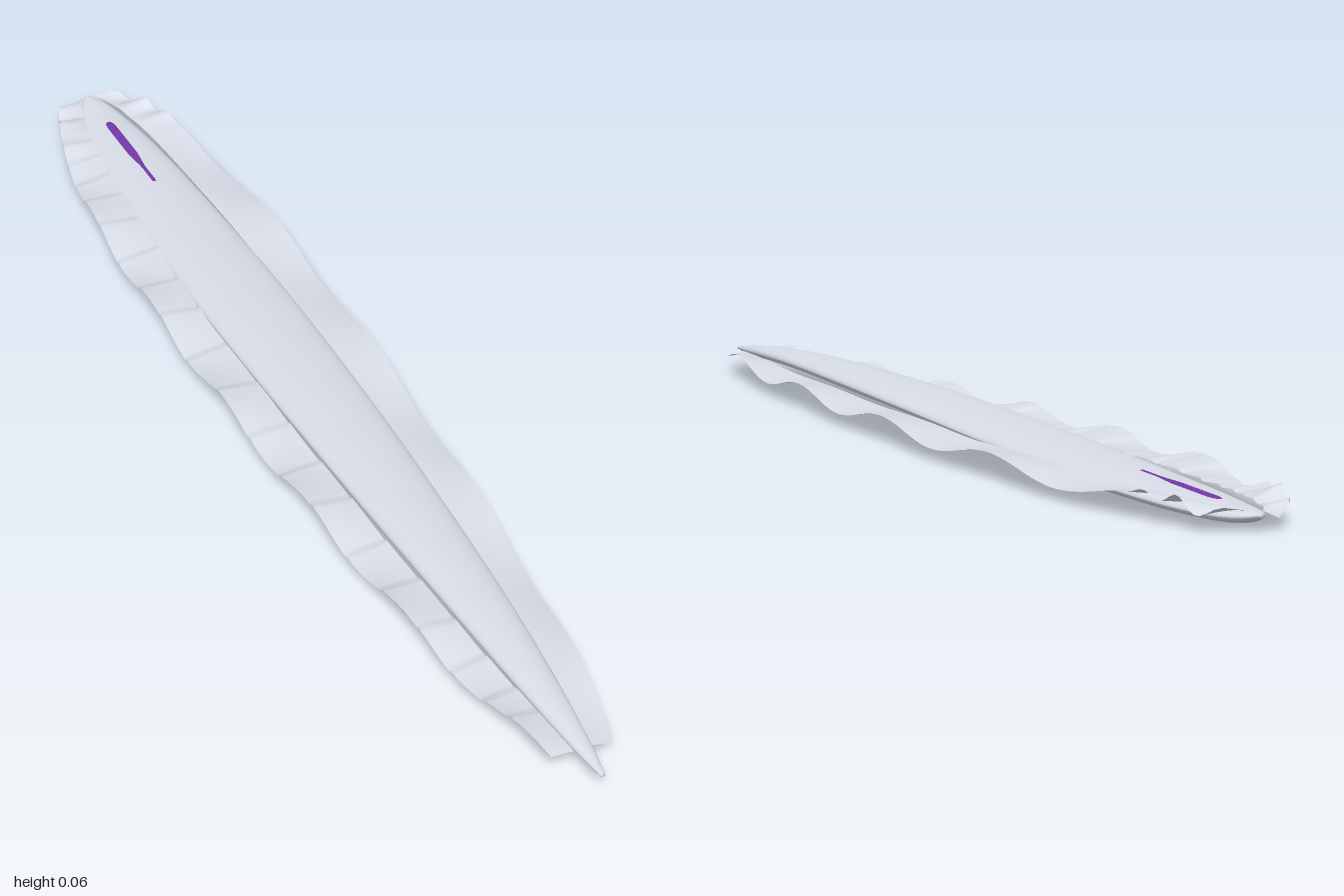
import * as THREE from 'three';

// Stations along the length: z, centre height, body half width, body half height, fin outer edge
const STATIONS = [
  [1.00, 0.035, 0.004, 0.003, 0.030],
  [0.94, 0.038, 0.014, 0.008, 0.050],
  [0.80, 0.045, 0.030, 0.013, 0.080],
  [0.60, 0.050, 0.046, 0.016, 0.106],
  [0.30, 0.048, 0.063, 0.018, 0.130],
  [0.00, 0.042, 0.074, 0.018, 0.145],
  [-0.30, 0.032, 0.078, 0.018, 0.150],
  [-0.60, 0.022, 0.071, 0.017, 0.142],
  [-0.80, 0.018, 0.058, 0.015, 0.116],
  [-0.92, 0.018, 0.040, 0.012, 0.086],
  [-0.97, 0.021, 0.025, 0.009, 0.062],
  [-1.00, 0.026, 0.004, 0.003, 0.020],
];

// Places where the right fin is pleated, front to back
const PLEATS = [0.94, 0.85, 0.79, 0.71, 0.62, 0.52, 0.41, 0.3, 0.2, 0.08, -0.04, -0.16, -0.27,
  -0.37, -0.47, -0.57, -0.66, -0.73, -0.79, -0.84, -0.88, -0.92, -1];

// Sawtooth rising from 0 to 1 across each pleat
function pleat(z) {
  const i = Math.max(1, PLEATS.findIndex((p) => p < z));
  return (PLEATS[i - 1] - z) / (PLEATS[i - 1] - PLEATS[i]);
}

// Smooth interpolation of the station table at a given z
function sample(z) {
  let i = 0;
  while (i < STATIONS.length - 2 && z < STATIONS[i + 1][0]) i++;
  const at = (k) => STATIONS[Math.min(Math.max(k, 0), STATIONS.length - 1)];
  const a = at(i), b = at(i + 1), h = b[0] - a[0];
  const t = THREE.MathUtils.clamp((z - a[0]) / h, 0, 1);
  const slope = (k, c) => (at(k + 1)[c] - at(k - 1)[c]) / (at(k + 1)[0] - at(k - 1)[0]);
  const value = (c) =>
    a[c] * (1 + 2 * t) * (1 - t) ** 2 + b[c] * t * t * (3 - 2 * t) +
    h * (slope(i, c) * t * (1 - t) ** 2 + slope(i + 1, c) * t * t * (t - 1));
  return { y: value(1), w: Math.max(value(2), 0.002), h: Math.max(value(3), 0.002), fin: value(4) };
}

// Surface from a grid of points, point(u, v) with u and v from 0 to 1
function surface(nu, nv, point) {
  const pos = [], index = [];
  for (let i = 0; i <= nu; i++) {
    for (let j = 0; j <= nv; j++) pos.push(...point(i / nu, j / nv));
  }
  for (let i = 0; i < nu; i++) {
    for (let j = 0; j < nv; j++) {
      const a = i * (nv + 1) + j, b = a + nv + 1;
      index.push(a, b, a + 1, b, b + 1, a + 1);
    }
  }
  const g = new THREE.BufferGeometry();
  g.setAttribute('position', new THREE.Float32BufferAttribute(pos, 3));
  g.setIndex(index);
  g.computeVertexNormals();
  return g;
}

export function createModel() {
  const group = new THREE.Group();
  const grey = new THREE.MeshStandardMaterial({ color: 0xd9dde8, side: THREE.DoubleSide });
  grey.name = 'paleGrey';
  const purple = new THREE.MeshStandardMaterial({ color: 0x7638a6, side: THREE.DoubleSide });
  purple.name = 'purple';
  const add = (name, geometry, material) => {
    const mesh = new THREE.Mesh(geometry, material);
    mesh.name = name;
    group.add(mesh);
  };

  // Long flattened body, with rings packed closer at both ends
  add('body', surface(80, 40, (u, v) => {
    const z = Math.cos(Math.PI * u), s = sample(z), a = v * Math.PI * 2;
    return [s.w * Math.cos(a), s.y + s.h * Math.sin(a), z];
  }), grey);

  // Rounded caps closing the nose and tail
  for (const [name, z] of [['noseCap', 1], ['tailCap', -1]]) {
    const s = sample(z);
    const cap = new THREE.SphereGeometry(1, 12, 8);
    cap.scale(s.w, s.h, 0.002).translate(0, s.y, z * 0.998);
    add(name, cap, grey);
  }

  // Rippling side fins: flat at the root, waving at the rim, crumpled at the tail
  const fins = [
    { name: 'leftFin', side: 1, crest: 0.365, length: 0.41, step: 0 },
    { name: 'rightFin', side: -1, crest: 0.88, length: 0.295, step: 0.004 },
  ];
  for (const { name, side, crest, length, step } of fins) {
    add(name, surface(240, 8, (u, v) => {
      const z = 0.94 - 1.93 * u, s = sample(z);
      const wave = 0.012 * Math.cos(2 * Math.PI * (z - crest) / length);
      const crumple = 0.01 * THREE.MathUtils.smoothstep(-z, 0.78, 0.95) * Math.sin(z * 95 + side);
      const root = Math.max(s.w - 0.003, 0.004);
      const x = root + (s.fin - root) * v;
      const y = 0.034 + 0.003 * z + (wave + crumple) * (0.1 + 0.9 * v);
      return [side * x, y + step * (pleat(z) - 0.5), z];
    }), grey);
  }

  // Tapered stripes lying just off the skin, above (up = 1) or below (up = -1)
  const stripe = (name, up, z0, z1, width) => add(name, surface(48, 8, (u, v) => {
    const z = z0 + (z1 - z0) * u, s = sample(z);
    const x = (v * 2 - 1) * width(u);
    const rise = s.h * Math.sqrt(Math.max(0, 1 - (x / s.w) ** 2)) + 0.0015;
    return [x, s.y + up * rise, z];
  }), purple);
  const round = (u) => Math.sqrt(Math.max(0, 1 - u * u));
  stripe('backStripe', 1, -0.89, -0.66, (u) =>
    0.0035 + 0.005 * (1 - THREE.MathUtils.smoothstep(u, 0.5, 0.8)) * round(1 - Math.min(1, u * 8)));
  stripe('bellyStripe', -1, 0.87, -0.19, (u) =>
    0.005 + 0.012 * THREE.MathUtils.smoothstep(u, 0.35, 0.55) * round(Math.max(0, (u - 0.8) / 0.2)));

  return group;
}
